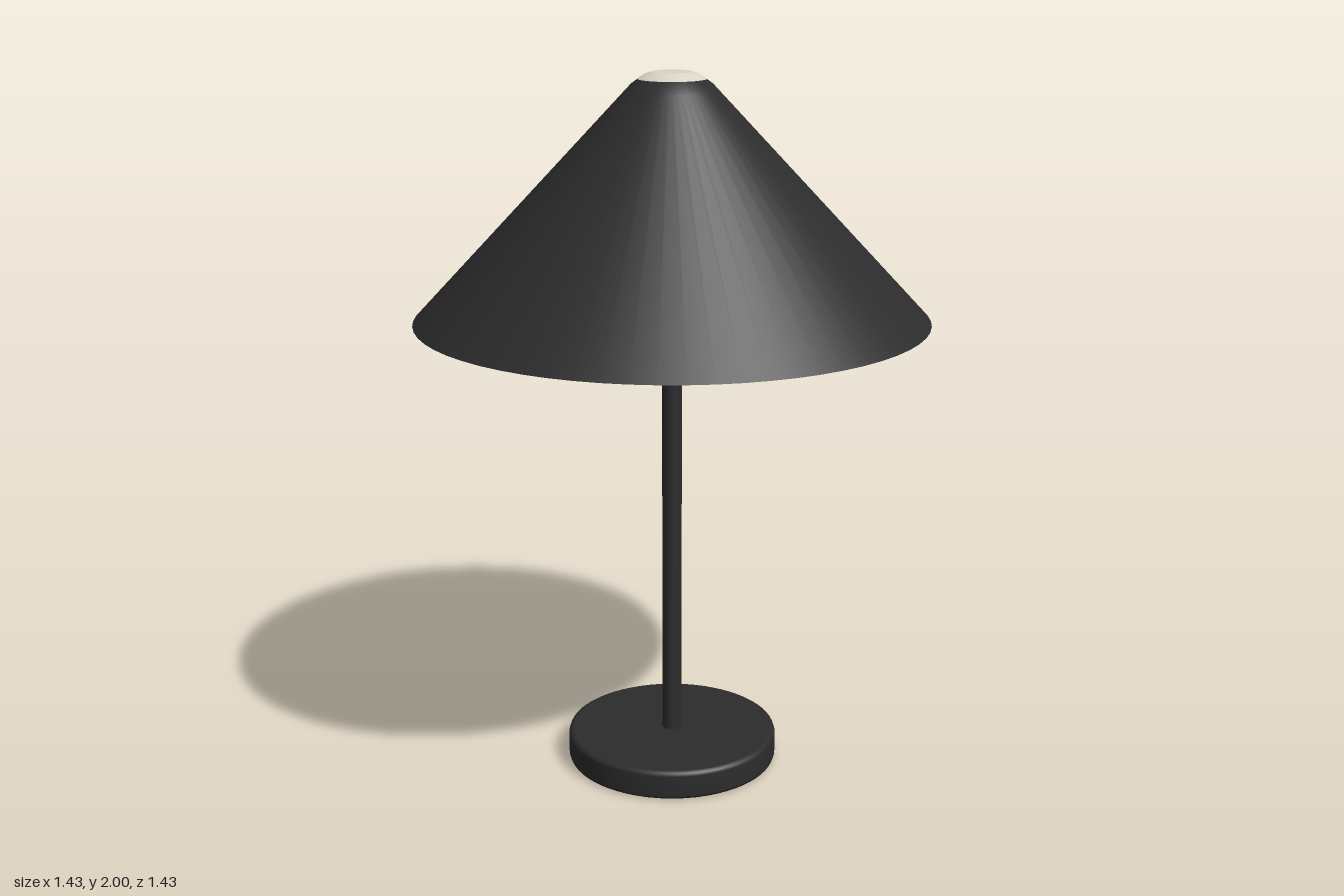
import * as THREE from 'three';

const points = (list) => list.map(([r, y]) => new THREE.Vector2(r, y));

export function createModel() {
  const black = new THREE.MeshStandardMaterial({ color: 0x2c2c2c });
  black.name = 'matte black';
  const cream = new THREE.MeshStandardMaterial({ color: 0xd9d2c6, side: THREE.DoubleSide });
  cream.name = 'cream lining';
  const amber = new THREE.MeshStandardMaterial({ color: 0xcfa96b, flatShading: true });
  amber.name = 'amber bulb';

  const lamp = new THREE.Group();
  lamp.name = 'tableLamp';
  const add = (name, geometry, material, y = 0) => {
    const mesh = new THREE.Mesh(geometry, material);
    mesh.name = name;
    mesh.position.y = y;
    lamp.add(mesh);
  };

  // Round base with softened edges
  add('base', new THREE.LatheGeometry(points([
    [0, 0], [0.295, 0], [0.295, 0], [0.302, 0.004], [0.305, 0.013],
    [0.305, 0.072], [0.302, 0.081], [0.293, 0.085], [0.293, 0.085], [0, 0.085],
  ]), 64), black);

  // Slender stem reaching the bulb
  add('stem', new THREE.CylinderGeometry(0.028, 0.028, 1.58, 24), black, 0.87);

  // Faceted bulb under the shade
  add('bulb', new THREE.IcosahedronGeometry(0.105, 1), amber, 1.725);

  // Conical outer shade with a narrow rim and a rounded shoulder
  add('shade', new THREE.LatheGeometry(points([
    [0.700, 1.325], [0.715, 1.325], [0.715, 1.325], [0.125, 1.952],
    [0.110, 1.968], [0.090, 1.982],
  ]), 64), black);

  // Pale lining inside the shade
  add('lining', new THREE.LatheGeometry(points([
    [0.700, 1.325], [0.115, 1.945], [0.090, 1.970], [0.055, 1.985], [0, 1.985],
  ]), 64), cream);

  // Pale cap showing at the top opening
  add('cap', new THREE.LatheGeometry(points([
    [0.094, 1.981], [0.075, 1.993], [0.055, 2], [0.055, 2], [0, 2],
  ]), 48), cream);

  return lamp;
}
